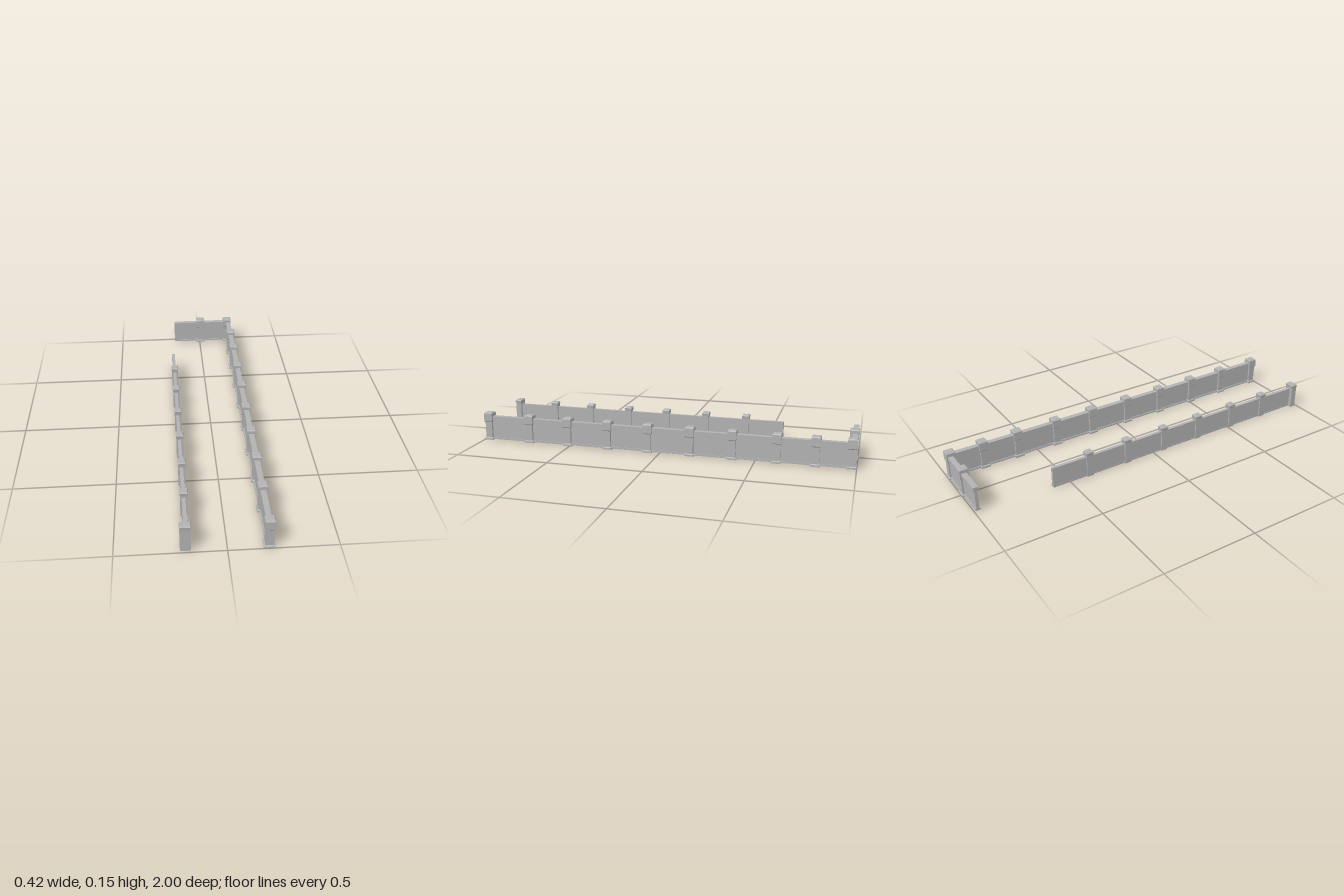
import * as THREE from 'three';

const stone = new THREE.MeshStandardMaterial({ color: 0xb2b2b2 });
stone.name = 'grey stone';

// Box from y0 to y1 whose top and bottom faces may be drawn in
function block(name, w, d, y0, y1, x, z, topInset = 0, bottomInset = 0) {
  const geo = new THREE.BoxGeometry(w, y1 - y0, d);
  const p = geo.attributes.position;
  for (let i = 0; i < p.count; i++) {
    const inset = p.getY(i) > 0 ? topInset : bottomInset;
    p.setX(i, p.getX(i) - Math.sign(p.getX(i)) * inset);
    p.setZ(i, p.getZ(i) - Math.sign(p.getZ(i)) * inset);
  }
  geo.computeVertexNormals();
  const mesh = new THREE.Mesh(geo, stone);
  mesh.name = name;
  mesh.position.set(x, (y0 + y1) / 2, z);
  return mesh;
}

// Pillar with a foot, a shaft and a tall bevelled cap
function tallPillar(x, z) {
  const g = new THREE.Group();
  g.name = 'tallPillar';
  g.add(
    block('pillarFoot', 0.05, 0.05, 0, 0.009, x, z),
    block('pillarFootBevel', 0.05, 0.05, 0.009, 0.013, x, z, 0.005),
    block('pillarShaft', 0.038, 0.038, 0.013, 0.102, x, z),
    block('capUnderside', 0.047, 0.047, 0.1, 0.104, x, z, 0, 0.003),
    block('capBody', 0.047, 0.047, 0.104, 0.148, x, z),
    block('capBevel', 0.047, 0.047, 0.148, 0.153, x, z, 0.005),
  );
  return g;
}

// Plain pillar with a low cap
function lowPillar(x, z, w, d) {
  const g = new THREE.Group();
  g.name = 'lowPillar';
  g.add(
    block('pillarShaft', w, d, 0, 0.119, x, z),
    block('capBody', w + 0.005, d + 0.005, 0.119, 0.135, x, z, 0, 0.002),
    block('capBevel', w + 0.005, d + 0.005, 0.135, 0.14, x, z, 0.004),
  );
  return g;
}

// Wall run with base course, panel, moulding and coping, along x or z
function railedWall(name, alongX, from, to, at) {
  const g = new THREE.Group();
  g.name = name;
  const len = to - from, mid = (from + to) / 2;
  const layer = (part, t, y0, y1) => g.add(alongX
    ? block(part, len, t, y0, y1, mid, at)
    : block(part, t, len, y0, y1, at, mid));
  layer('baseCourse', 0.028, 0.003, 0.01);
  layer('baseStep', 0.022, 0.01, 0.013);
  layer('panel', 0.015, 0.013, 0.108);
  layer('moulding', 0.02, 0.108, 0.111);
  layer('coping', 0.027, 0.111, 0.132);
  return g;
}

export function createModel() {
  const model = new THREE.Group();
  model.name = 'boundaryWalls';

  // Long wall on the +x side with its pillars
  model.add(railedWall('longWall', false, -0.985, 0.98, 0.184));
  for (const z of [-0.8, -0.608, -0.382, -0.161, 0.065, 0.287, 0.512, 0.735, 0.975]) {
    model.add(tallPillar(0.185, z));
  }

  // Short return wall across the back, with the corner pillar
  model.add(railedWall('backWall', true, -0.161, 0.185, -0.98));
  model.add(tallPillar(0.177, -0.975), tallPillar(0.005, -0.977));

  // Lower, plainer wall on the -x side
  const low = new THREE.Group();
  low.name = 'lowWall';
  low.add(
    block('panel', 0.017, 1.565, 0.004, 0.113, -0.181, 0.1875),
    block('baseCourse', 0.025, 1.565, 0.002, 0.011, -0.178, 0.1875),
  );
  for (const z of [-0.388, -0.163, 0.065, 0.289, 0.52, 0.743]) {
    low.add(lowPillar(-0.179, z, 0.034, 0.036));
  }
  low.add(lowPillar(-0.184, 0.973, 0.049, 0.032));
  model.add(low);

  return model;
}
